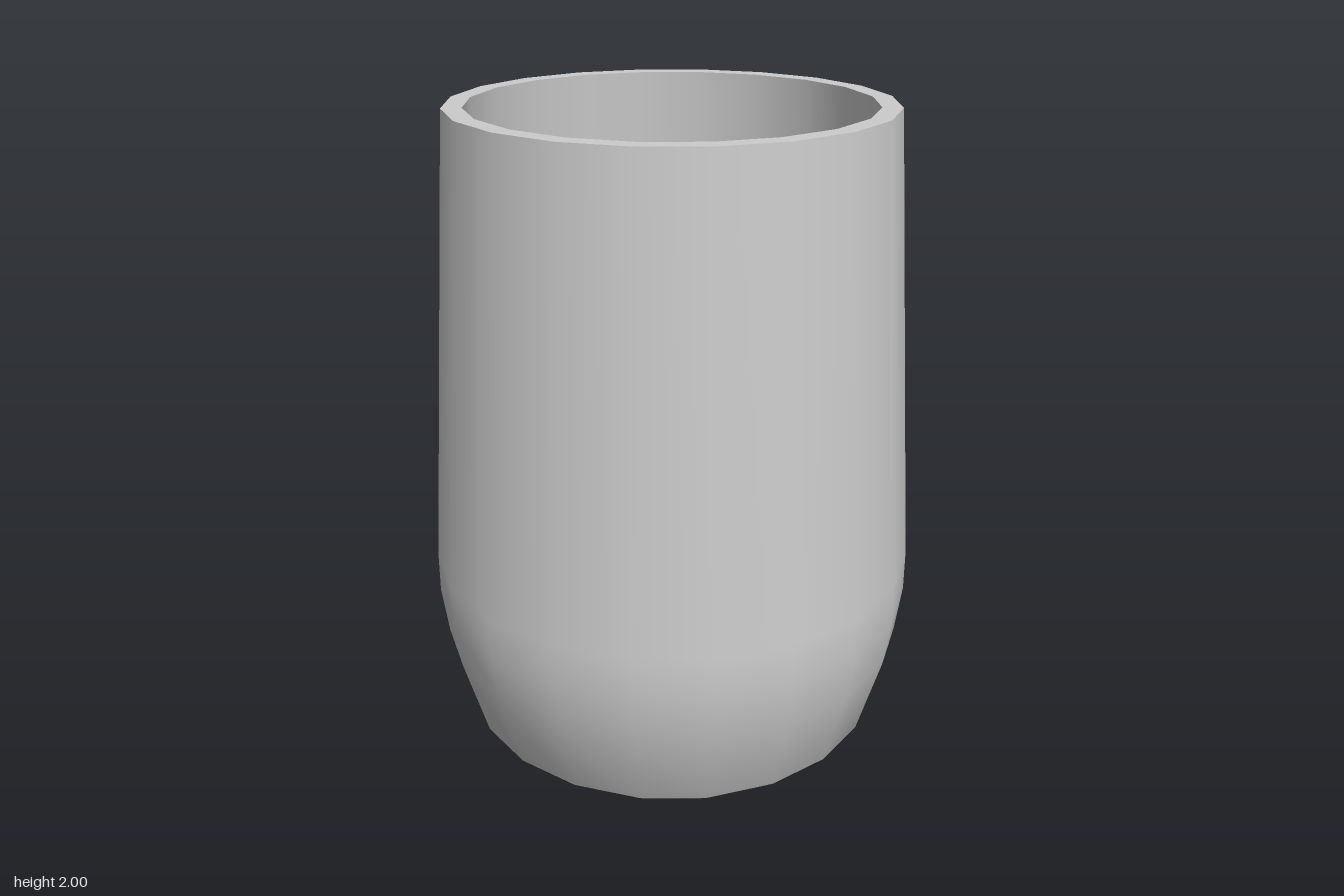
import * as THREE from 'three';

const SIDES = 20;

export function createModel() {
  const cup = new THREE.Group();
  cup.name = 'tumbler';
  const material = new THREE.MeshStandardMaterial({ color: 0xcccccc });

  // Each section is its own lathe, so the edges between sections stay sharp.
  const addSection = (name, profile) => {
    const points = profile.map(([r, y]) => new THREE.Vector2(r, y));
    const mesh = new THREE.Mesh(new THREE.LatheGeometry(points, SIDES), material);
    mesh.name = name;
    cup.add(mesh);
  };

  // Profiles run from the base centre, up the outside, over the rim and down inside.
  addSection('base', [[0, 0], [0.585, 0]]);
  addSection('outerWall', [
    [0.585, 0], [0.66, 0.06], [0.735, 0.32], [0.755, 0.47], [0.755, 0.6], [0.66, 2],
  ]);
  addSection('rim', [[0.66, 2], [0.6, 2]]);
  addSection('innerWall', [
    [0.6, 2], [0.695, 0.6], [0.695, 0.48], [0.675, 0.34], [0.585, 0.07],
  ]);
  addSection('innerFloor', [[0.585, 0.07], [0, 0.07]]);

  return cup;
}
